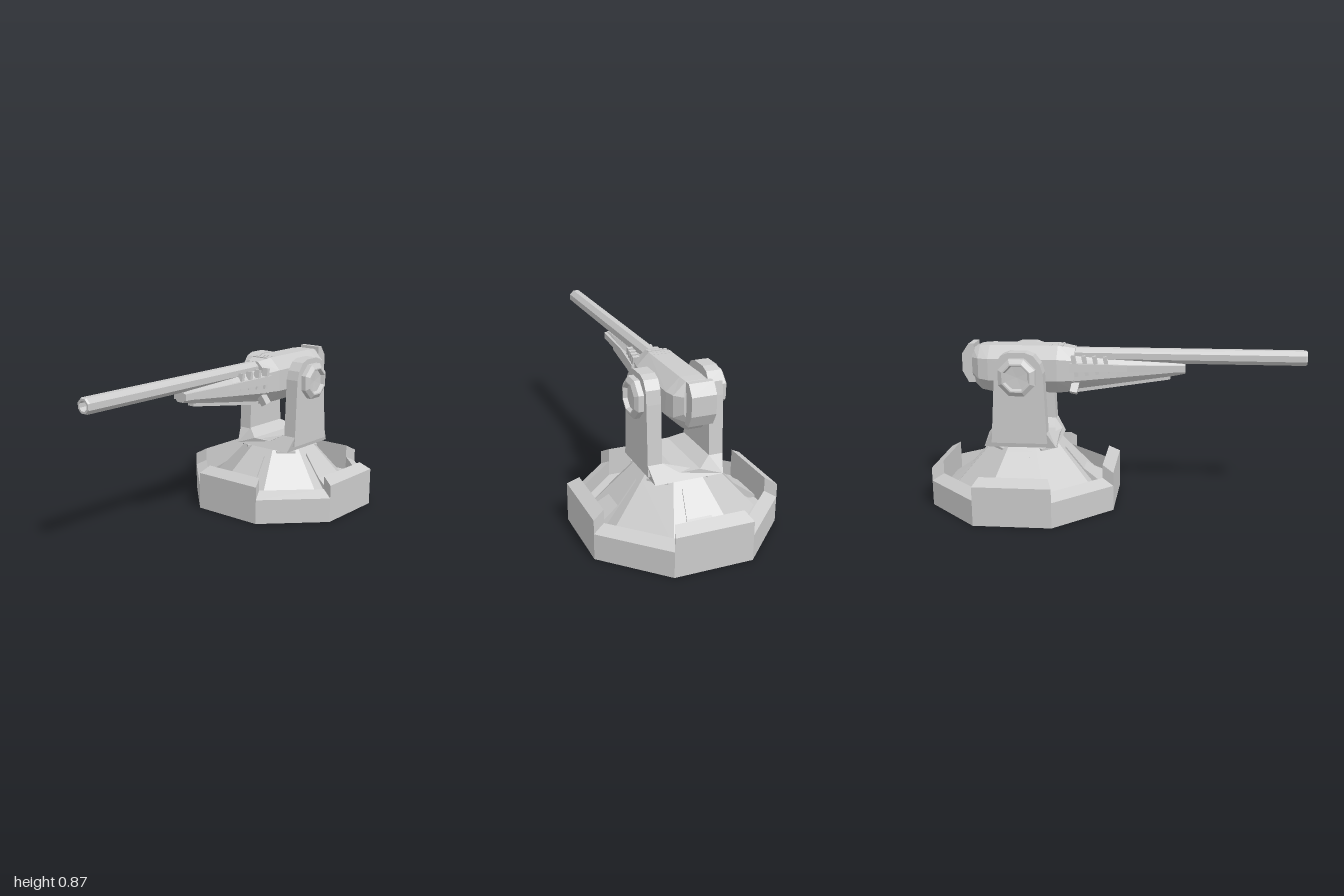
import * as THREE from 'three';

const grey = new THREE.MeshStandardMaterial({ color: 0xcccccc, flatShading: true, side: THREE.DoubleSide });
const MID = -0.505;                 // z of the mount's vertical axis
const T = Math.tan(Math.PI / 8);    // half side of an octagon with apothem 1
const C = Math.cos(Math.PI / 8);

function add(parent, name, geometry) {
  const mesh = new THREE.Mesh(geometry, grey);
  mesh.name = name;
  parent.add(mesh);
  return mesh;
}

// Closed solid through a list of equal-length point loops
function loft(loops) {
  const pos = [];
  const tri = (a, b, c) => pos.push(...a, ...b, ...c);
  const n = loops[0].length;
  for (let s = 0; s < loops.length - 1; s++) {
    for (let i = 0; i < n; i++) {
      const j = (i + 1) % n, p = loops[s], q = loops[s + 1];
      tri(p[i], p[j], q[j]);
      tri(p[i], q[j], q[i]);
    }
  }
  const first = loops[0], last = loops[loops.length - 1];
  for (let i = 1; i < n - 1; i++) {
    tri(first[0], first[i + 1], first[i]);
    tri(last[0], last[i], last[i + 1]);
  }
  const g = new THREE.BufferGeometry();
  g.setAttribute('position', new THREE.Float32BufferAttribute(pos, 3));
  g.computeVertexNormals();
  return g;
}

// Eight-sided section: widest between a third and three quarters of its height
function section(z, w, y0, y1, wb, wt) {
  const lo = y0 + (y1 - y0) * 0.3, hi = y0 + (y1 - y0) * 0.75;
  return [[-wb, y0, z], [wb, y0, z], [w, lo, z], [w, hi, z], [wt, y1, z], [-wt, y1, z], [-w, hi, z], [-w, lo, z]];
}

const rect = (z, x0, x1, y0, y1) => [[x0, y0, z], [x1, y0, z], [x1, y1, z], [x0, y1, z]];

// Octagonal lathe; radii are given to the flats
function octLathe(points) {
  return new THREE.LatheGeometry(points.map(([r, y]) => new THREE.Vector2(r / C, y)), 8, Math.PI / 8);
}

// Extrudes a (z, y) side profile from x0 to x1
function sideExtrude(points, x0, x1) {
  const shape = new THREE.Shape(points.map(([z, y]) => new THREE.Vector2(-z, y)));
  const g = new THREE.ExtrudeGeometry(shape, { depth: x1 - x0, bevelEnabled: false });
  return g.rotateY(Math.PI / 2).translate(x0, 0, 0);
}

function buildBase() {
  const base = new THREE.Group();
  base.name = 'base';
  base.position.z = MID;

  // Ring wall: tall sides on the axes, low sides on the diagonals
  for (let k = 0; k < 8; k++) {
    const top = k % 2 ? 0.137 : 0.21;
    const profile = [[0.495, 0], [0.495, top], [0.435, top + 0.035], [0.435, 0.08], [0.475, 0]];
    const end = (s) => profile.map(([a, y]) => [s * a * T, y, a]);
    add(base, k % 2 ? 'lowRingWall' : 'tallRingWall', loft([end(-1), end(1)])).rotation.y = k * Math.PI / 4;
  }

  // Hollow cone and trench floor
  add(base, 'cone', octLathe([[0.44, 0.09], [0.39, 0.09], [0.2, 0.31], [0.18, 0.333], [0, 0.338]]));

  for (let k = 0; k < 4; k++) {
    // Flared rib running down each main side
    const strip = (r, y, w) => [[-w, y - 0.03, r], [-w, y + 0.008, r], [w, y + 0.008, r], [w, y - 0.03, r]];
    const rib = add(base, 'coneRib', loft([strip(0.215, 0.297, 0.045), strip(0.32, 0.176, 0.065), strip(0.436, 0.095, 0.09)]));
    rib.rotation.y = k * Math.PI / 2;

    // Lip near the top of each diagonal side
    const lip = new THREE.BoxGeometry(0.11, 0.012, 0.03).translate(0, 0.32, 0.19);
    add(base, 'coneLip', lip).rotation.y = (k + 0.5) * Math.PI / 2;
  }
  return base;
}

function buildYoke() {
  const yoke = new THREE.Group();
  yoke.name = 'yoke';

  // Saddle, drawn in toward the arms at its upper edge
  const outline = [[-0.18, 0.333], [0.18, 0.333], [0.2, 0.42], [0.125, 0.42], [0.055, 0.38], [-0.055, 0.38], [-0.125, 0.42], [-0.2, 0.42]];
  const face = (s) => outline.map(([x, y]) => [x, y, MID - 0.01 + s * (y > 0.4 ? 0.145 : 0.195)]);
  add(yoke, 'saddle', loft([face(-1), face(1)]));

  const arm = [[-0.365, 0.36], [-0.38, 0.74], [-0.395, 0.79], [-0.43, 0.835], [-0.47, 0.85],
    [-0.56, 0.85], [-0.6, 0.835], [-0.63, 0.79], [-0.64, 0.72], [-0.665, 0.36]];
  const cap = [[0.0975, 0.18], [0.0975, 0.228], [0.075, 0.243], [0.068, 0.243], [0.06, 0.222], [0, 0.218]];
  for (const s of [-1, 1]) {
    add(yoke, 'arm', sideExtrude(arm, s > 0 ? 0.125 : -0.2, s > 0 ? 0.2 : -0.125));
    const trunnion = add(yoke, 'trunnionCap', octLathe(cap));
    trunnion.rotation.z = -s * Math.PI / 2;
    trunnion.position.set(0, 0.723, -0.515);
  }
  return yoke;
}

function buildGun() {
  const gun = new THREE.Group();
  gun.name = 'gun';

  // Breech housing
  add(gun, 'housing', loft([
    section(-0.785, 0.075, 0.66, 0.845, 0.035, 0.04),
    section(-0.745, 0.112, 0.618, 0.86, 0.04, 0.05),
    section(-0.69, 0.124, 0.607, 0.864, 0.04, 0.055),
    section(-0.32, 0.12, 0.605, 0.865, 0.04, 0.055),
    section(-0.23, 0.098, 0.615, 0.85, 0.04, 0.035),
  ]));
  add(gun, 'trunnionShaft', new THREE.CylinderGeometry(0.085, 0.085, 0.26, 8).rotateZ(Math.PI / 2).translate(0, 0.723, -0.515));
  for (const z of [-0.36, -0.33, -0.3]) {
    add(gun, 'topRib', new THREE.BoxGeometry(0.1, 0.008, 0.012).translate(0, 0.862, z));
  }

  // Rear plate
  add(gun, 'rearPlate', sideExtrude([[-0.775, 0.87], [-0.805, 0.87], [-0.842, 0.815], [-0.842, 0.72], [-0.81, 0.66], [-0.775, 0.66]], -0.063, 0.063));

  // Barrel with open muzzle
  const barrel = [[0.039, -0.3], [0.039, 0.99], [0.035, 1], [0.025, 1], [0.022, 0.9], [0, 0.9]];
  add(gun, 'barrel', octLathe(barrel).rotateX(Math.PI / 2).translate(0, 0.81, 0));

  // Tapered cradle under the barrel
  add(gun, 'cradle', loft([
    section(-0.25, 0.1, 0.625, 0.81, 0.04, 0.045),
    section(0, 0.062, 0.66, 0.79, 0.03, 0.035),
    section(0.3, 0.036, 0.705, 0.775, 0.02, 0.025),
    section(0.36, 0.034, 0.718, 0.77, 0.02, 0.025),
  ]));
  add(gun, 'keel', loft([rect(-0.25, -0.04, 0.04, 0.605, 0.68), rect(0.28, -0.02, 0.02, 0.685, 0.72)]));

  for (const s of [-1, 1]) {
    const rail = [rect(-0.25, 0.06, 0.118, 0.735, 0.78), rect(0.05, 0.03, 0.062, 0.73, 0.765), rect(0.36, 0.02, 0.042, 0.73, 0.765)];
    const side = new THREE.Group();
    side.name = s > 0 ? 'leftCradleSide' : 'rightCradleSide';
    // Mirrored copy keeps its corner order by reversing each loop
    const turn = (loops) => (s > 0 ? loops : loops.map((l) => l.map(([x, y, z]) => [-x, y, z]).reverse()));
    add(side, 'sideRail', loft(turn(rail)));

    // Slanted cooling slats
    for (let i = 0; i < 4; i++) {
      const z = -0.06 - i * 0.055;
      const slat = add(side, 'slat', new THREE.BoxGeometry(0.035, 0.09 + i * 0.008, 0.02));
      slat.position.set(s * (0.052 + i * 0.013), 0.765, z);
      slat.rotation.x = -0.2;
    }
    const lug = add(side, 'lowerLug', new THREE.BoxGeometry(0.04, 0.11, 0.04));
    lug.position.set(s * 0.068, 0.665, -0.225);
    lug.rotation.set(0.2, 0, s * 0.5);
    gun.add(side);
  }
  return gun;
}

export function createModel() {
  const model = new THREE.Group();
  model.name = 'deckGun';
  model.add(buildBase(), buildYoke(), buildGun());
  return model;
}
